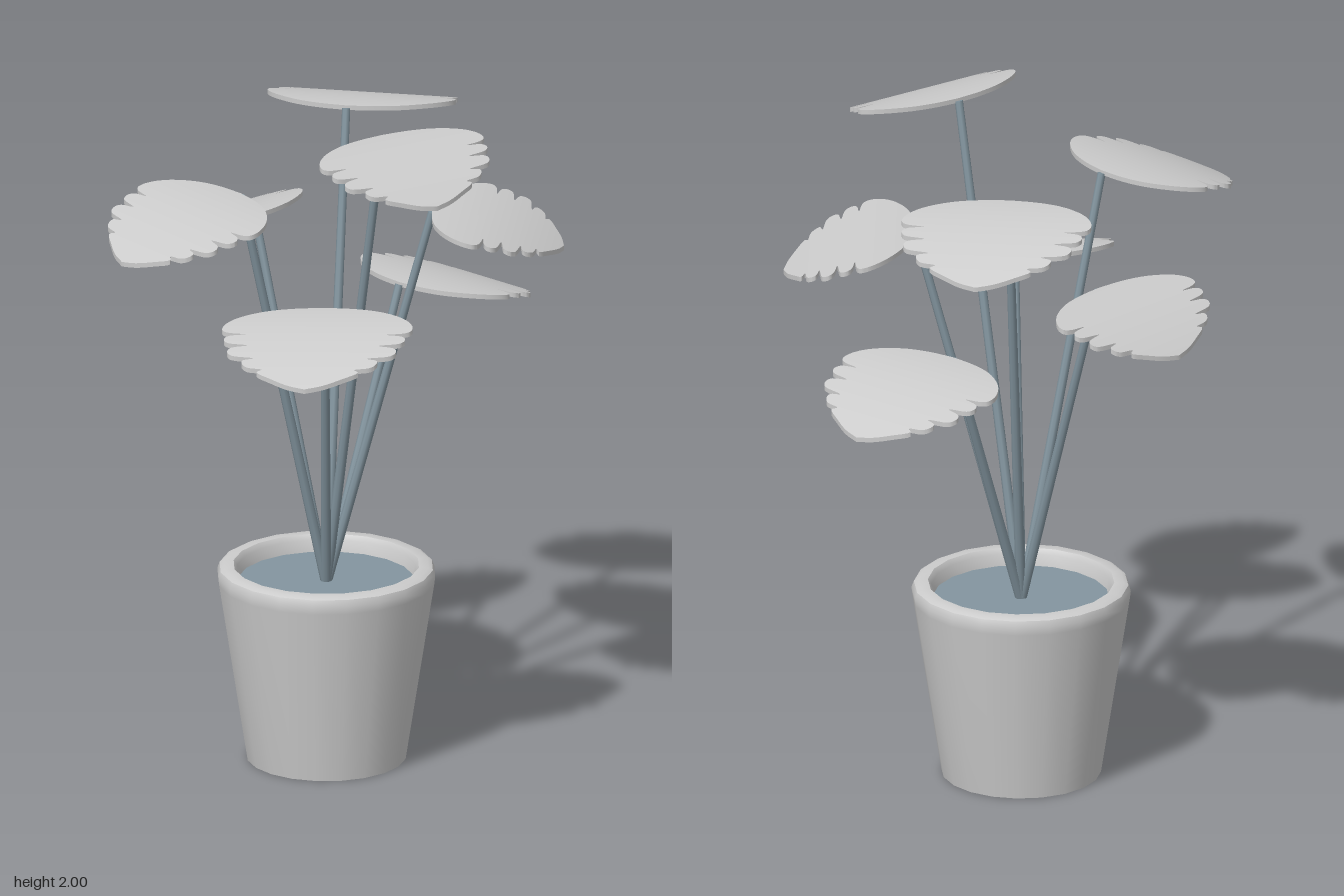
import * as THREE from 'three';
import { toCreasedNormals } from 'three/addons/utils/BufferGeometryUtils.js';

const grey = new THREE.MeshStandardMaterial({ color: 0xcccccc });
const openGrey = new THREE.MeshStandardMaterial({ color: 0xcccccc, side: THREE.DoubleSide });
const slate = new THREE.MeshStandardMaterial({ color: 0x83959f });

const SOIL_Y = 0.54;
const STEM_REACH = 0.31;
const LEAF_COUNT = 7;
const GOLDEN_ANGLE = THREE.MathUtils.degToRad(137.5);

function addMesh(parent, name, geometry, material) {
  const mesh = new THREE.Mesh(geometry, material);
  mesh.name = name;
  parent.add(mesh);
  return mesh;
}

// Half outline of a leaf: [fraction of length, half width], with notched lobes
const halfOutline = [
  [0, 0], [0.02, 0.08], [0.07, 0.155], [0.19, 0.235], [0.32, 0.274], [0.4, 0.272],
  [0.425, 0.25], [0.44, 0.205], [0.46, 0.25], [0.5, 0.264], [0.55, 0.25],
  [0.575, 0.19], [0.6, 0.235], [0.64, 0.246], [0.69, 0.23],
  [0.715, 0.165], [0.735, 0.195], [0.78, 0.193], [0.81, 0.175],
  [0.825, 0.135], [0.85, 0.148], [0.91, 0.105], [0.97, 0.05], [1, 0],
].map(([s, w]) => new THREE.Vector3(s, w, 0));
const outline = new THREE.CatmullRomCurve3(halfOutline).getPoints(92);

// Drooping leaf lofted from cross-sections along its length
function leafGeometry(angle) {
  const c = Math.cos(angle), n = Math.sin(angle);
  const thickness = 0.014;
  const positions = [], index = [];
  let s = 0;
  outline.forEach((p, i) => {
    s = Math.max(s, p.x);
    const w = Math.max(p.y, 0);
    const y = -0.115 * s * s;
    // Leaves reach further sideways than to the front and back
    const cx = 0.45 * s * c, cz = 0.34 * s * n;
    for (const [side, drop] of [[-1, 0], [1, 0], [1, thickness], [-1, thickness]]) {
      positions.push(cx - side * w * n, y - drop, cz + side * w * c);
    }
    if (i === 0) return;
    for (let j = 0; j < 4; j++) {
      const k = (j + 1) % 4, a = (i - 1) * 4, b = i * 4;
      index.push(a + j, a + k, b + k, a + j, b + k, b + j);
    }
  });
  const geometry = new THREE.BufferGeometry();
  geometry.setAttribute('position', new THREE.Float32BufferAttribute(positions, 3));
  geometry.setIndex(index);
  return toCreasedNormals(geometry, 0.6);
}

// Straight thin stem between two points
function stemGeometry(from, to) {
  const dir = to.clone().sub(from);
  const geometry = new THREE.CylinderGeometry(0.012, 0.015, dir.length(), 8);
  geometry.applyQuaternion(new THREE.Quaternion().setFromUnitVectors(
    new THREE.Vector3(0, 1, 0), dir.clone().normalize()));
  const mid = from.clone().add(to).multiplyScalar(0.5);
  return geometry.translate(mid.x, mid.y, mid.z);
}

export function createModel() {
  const model = new THREE.Group();
  model.name = 'pottedPlant';

  // Tapered pot, open below, with a rounded rim and a short inner wall
  const potProfile = [
    [0.233, 0], [0.317, 0.54], [0.32, 0.565], [0.313, 0.583], [0.3, 0.59],
    [0.272, 0.59], [0.262, 0.575], [0.255, SOIL_Y - 0.02],
  ].map(([r, y]) => new THREE.Vector2(r, y));
  addMesh(model, 'pot', toCreasedNormals(new THREE.LatheGeometry(potProfile, 20), 0.7), openGrey);

  // Soil
  const soil = new THREE.CircleGeometry(0.262, 20).rotateX(-Math.PI / 2);
  addMesh(model, 'soil', soil, slate).position.y = SOIL_Y;

  // Stems and leaves climb in a golden-angle spiral
  const root = new THREE.Vector3(0, SOIL_Y - 0.01, 0);
  for (let i = 0; i < LEAF_COUNT; i++) {
    const angle = i * GOLDEN_ANGLE;
    const tip = new THREE.Vector3(
      STEM_REACH * Math.cos(angle), 1.38 + i * 0.62 / (LEAF_COUNT - 1), STEM_REACH * Math.sin(angle));
    const branch = new THREE.Group();
    branch.name = `branch${i + 1}`;
    addMesh(branch, 'stem', stemGeometry(root, tip.clone().setY(tip.y - 0.008)), slate);
    addMesh(branch, 'leaf', leafGeometry(angle), grey).position.copy(tip);
    model.add(branch);
  }
  return model;
}
